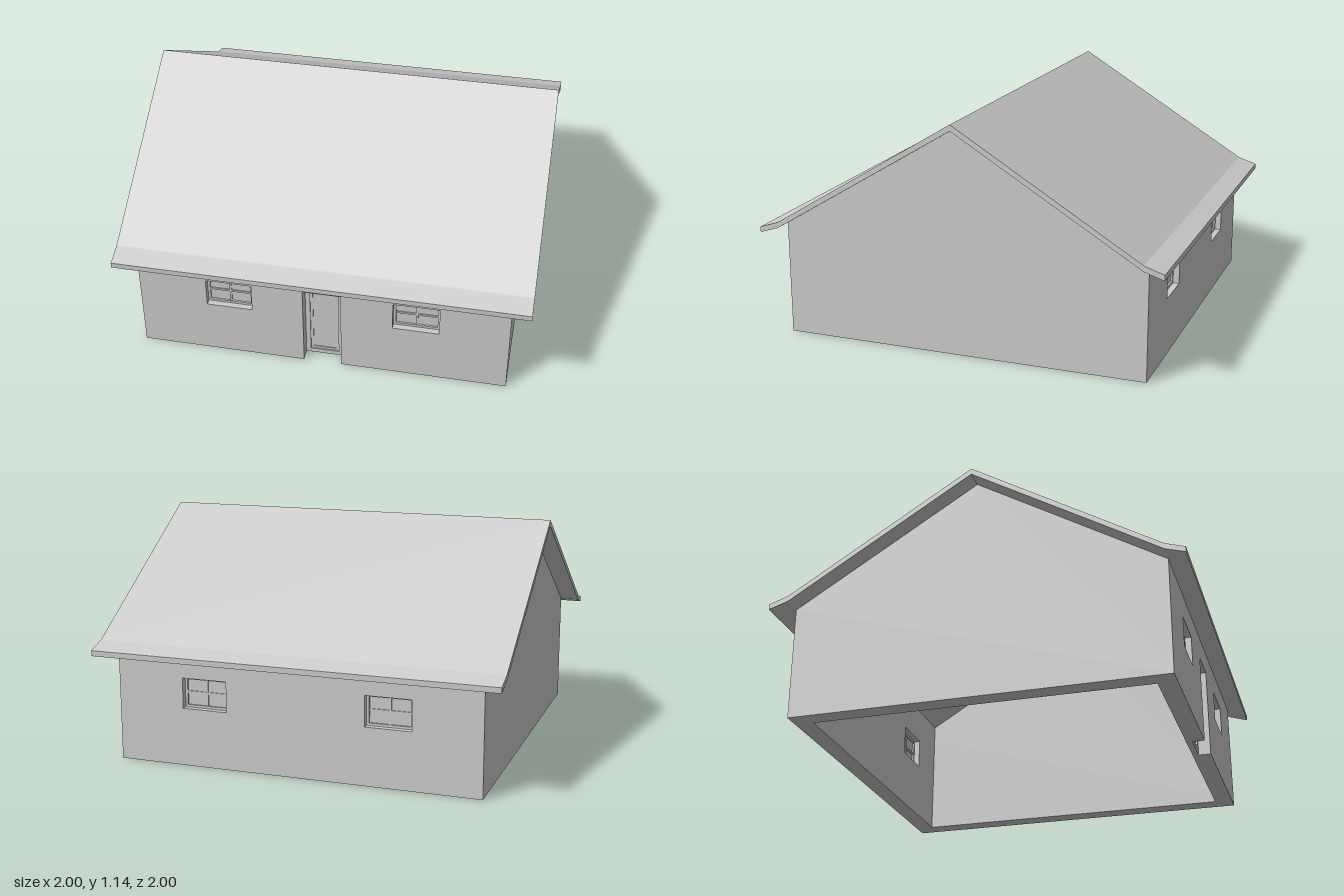
import * as THREE from 'three';

const W = 0.905;          // outer half width of the walls
const T = 0.09;           // wall thickness
const EAVE = 0.56;        // wall height at the eaves
const RIDGE = 1.11;       // underside of the ridge
const SLOPE = (RIDGE - EAVE) / W;
const mat = new THREE.MeshStandardMaterial({ color: 0xcccccc });

function mesh(name, geometry) {
  const m = new THREE.Mesh(geometry, mat);
  m.name = name;
  return m;
}

function polygon(points) {
  return new THREE.Shape(points.map(([x, y]) => new THREE.Vector2(x, y)));
}

function rectangle(x0, y0, x1, y1) {
  return polygon([[x0, y0], [x1, y0], [x1, y1], [x0, y1]]);
}

function extrude(shape, depth) {
  return new THREE.ExtrudeGeometry(shape, { depth, bevelEnabled: false });
}

// rectangular ring of bars, x/y limits measured outside
function ring(x0, y0, x1, y1, bar, depth) {
  const s = rectangle(x0, y0, x1, y1);
  s.holes.push(rectangle(x0 + bar, y0 + bar, x1 - bar, y1 - bar));
  return extrude(s, depth);
}

// window opening
const WIN = { x: 0.4575, y: 0.36, w: 0.225, h: 0.15 };

// long wall with window openings, top sloped to meet the roof
function longWall(name, withDoor) {
  const d = 0.093;
  const notch = withDoor ? [[-d, 0], [-d, 0.44], [d, 0.44], [d, 0]] : [];
  const shape = polygon([[-W + T, 0], ...notch, [W - T, 0], [W - T, EAVE], [-W + T, EAVE]]);
  for (const s of [-1, 1]) {
    const x = s * WIN.x;
    shape.holes.push(rectangle(x - WIN.w / 2, WIN.y - WIN.h / 2, x + WIN.w / 2, WIN.y + WIN.h / 2));
  }
  const g = extrude(shape, T);
  const p = g.attributes.position;
  for (let i = 0; i < p.count; i++) {
    if (p.getY(i) > EAVE - 0.001 && p.getZ(i) < T / 2) p.setY(i, EAVE + T * SLOPE);
  }
  g.computeVertexNormals();
  g.translate(0, 0, W - T);
  return mesh(name, g);
}

function makeWindow(name, x) {
  const group = new THREE.Group();
  group.name = name;
  const { w, h } = WIN;
  const frame = mesh('windowFrame', ring(-w / 2, -h / 2, w / 2, h / 2, 0.012, 0.03));
  frame.position.z = -0.015;
  group.add(
    frame,
    mesh('windowPane', new THREE.BoxGeometry(w - 0.02, h - 0.02, 0.012)),
    mesh('verticalBar', new THREE.BoxGeometry(0.01, h - 0.02, 0.022)),
    mesh('horizontalBar', new THREE.BoxGeometry(w - 0.02, 0.01, 0.022)),
  );
  group.position.set(x, WIN.y, W - T / 2);
  return group;
}

function makeDoor() {
  const door = new THREE.Group();
  door.name = 'door';
  const frame = mesh('doorFrame', ring(-0.093, 0, 0.093, 0.44, 0.023, 0.03));
  const bead = mesh('doorMoulding', ring(-0.07, 0.023, 0.07, 0.417, 0.013, 0.018));
  bead.position.z = 0.006;
  const panel = mesh('doorPanel', new THREE.BoxGeometry(0.116, 0.37, 0.01));
  panel.position.set(0, 0.22, 0.015);
  door.add(frame, bead, panel);
  door.position.z = W - T;
  return door;
}

export function createModel() {
  const house = new THREE.Group();
  house.name = 'house';

  // gable walls, outline drawn across the depth and extruded along x
  const gable = polygon([[-W, 0], [W, 0], [W, EAVE], [0, RIDGE], [-W, EAVE]]);
  for (const [name, x] of [['leftGableWall', W - T], ['rightGableWall', -W]]) {
    const g = extrude(gable, T);
    g.rotateY(Math.PI / 2);
    g.translate(x, 0, 0);
    house.add(mesh(name, g));
  }

  // front and back sides
  for (const side of ['front', 'back']) {
    const group = new THREE.Group();
    group.name = side + 'Side';
    group.add(longWall(side + 'Wall', side === 'front'));
    group.add(makeWindow(side + 'WindowA', WIN.x), makeWindow(side + 'WindowB', -WIN.x));
    if (side === 'front') group.add(makeDoor());
    else group.rotation.y = Math.PI;
    house.add(group);
  }

  // roof sheet with flared eaves
  const roof = extrude(polygon([
    [-1, 0.53], [-W, EAVE], [0, RIDGE], [W, EAVE], [1, 0.53],
    [1, 0.557], [W, 0.588], [0, 1.14], [-W, 0.588], [-1, 0.557],
  ]), 2);
  roof.rotateY(Math.PI / 2);
  roof.translate(-1, 0, 0);
  house.add(mesh('roof', roof));

  return house;
}
